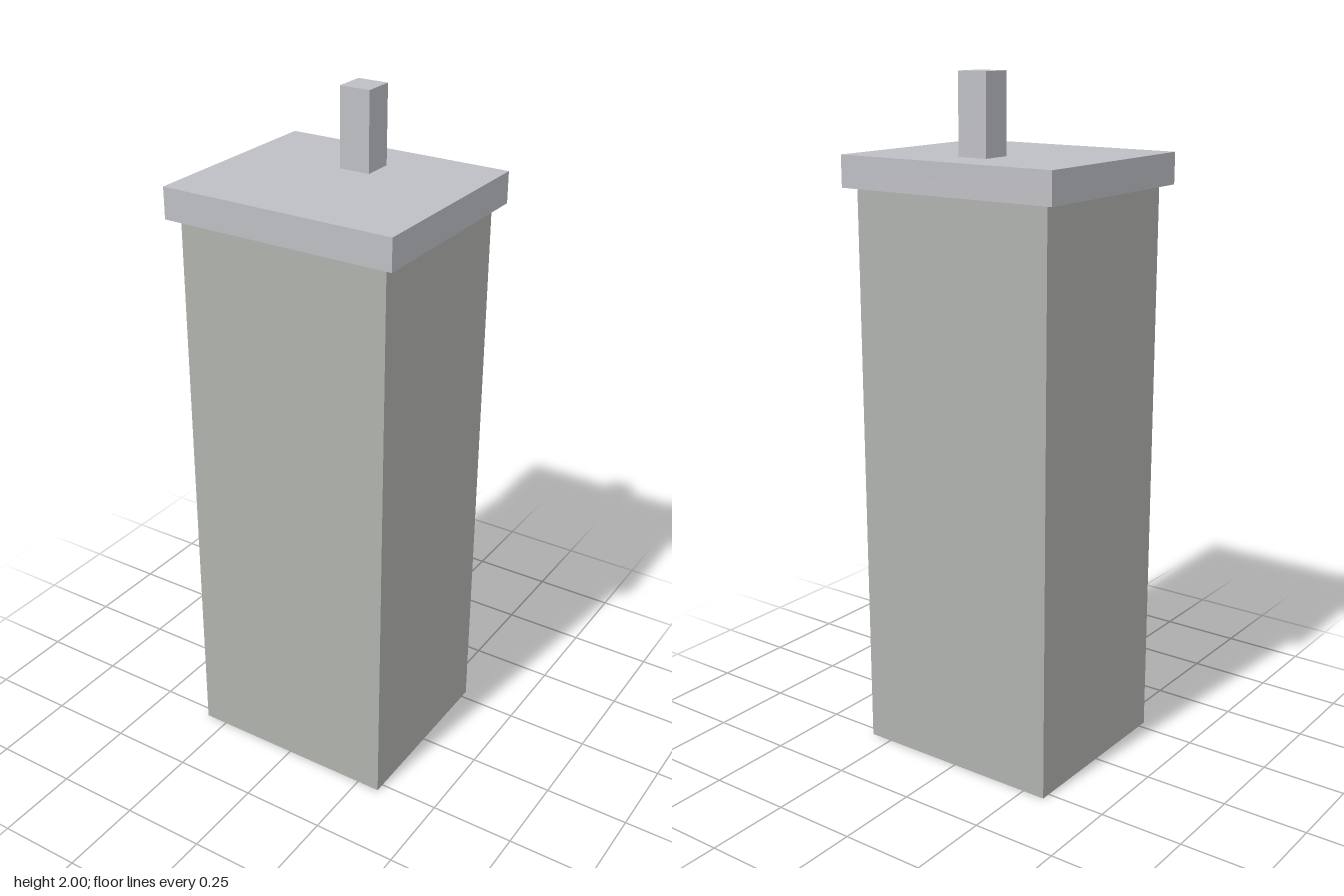
import * as THREE from 'three';

const bodyMaterial = new THREE.MeshStandardMaterial({ color: 0xb0b2ae });
const roofMaterial = new THREE.MeshStandardMaterial({ color: 0xbebfc4 });

// Box standing on height y
function block(name, [w, h, d], y, z, material) {
  const mesh = new THREE.Mesh(new THREE.BoxGeometry(w, h, d), material);
  mesh.name = name;
  mesh.position.set(0, y + h / 2, z);
  return mesh;
}

export function createModel() {
  const model = new THREE.Group();
  model.name = 'tower';
  model.add(
    // tall main block
    block('body', [0.64, 1.682, 0.556], 0, 0, bodyMaterial),
    // overhanging slab
    block('roofSlab', [0.704, 0.091, 0.612], 1.682, 0, roofMaterial),
    // small stack towards the back
    block('chimney', [0.093, 0.227, 0.093], 1.773, -0.124, roofMaterial),
  );
  return model;
}
